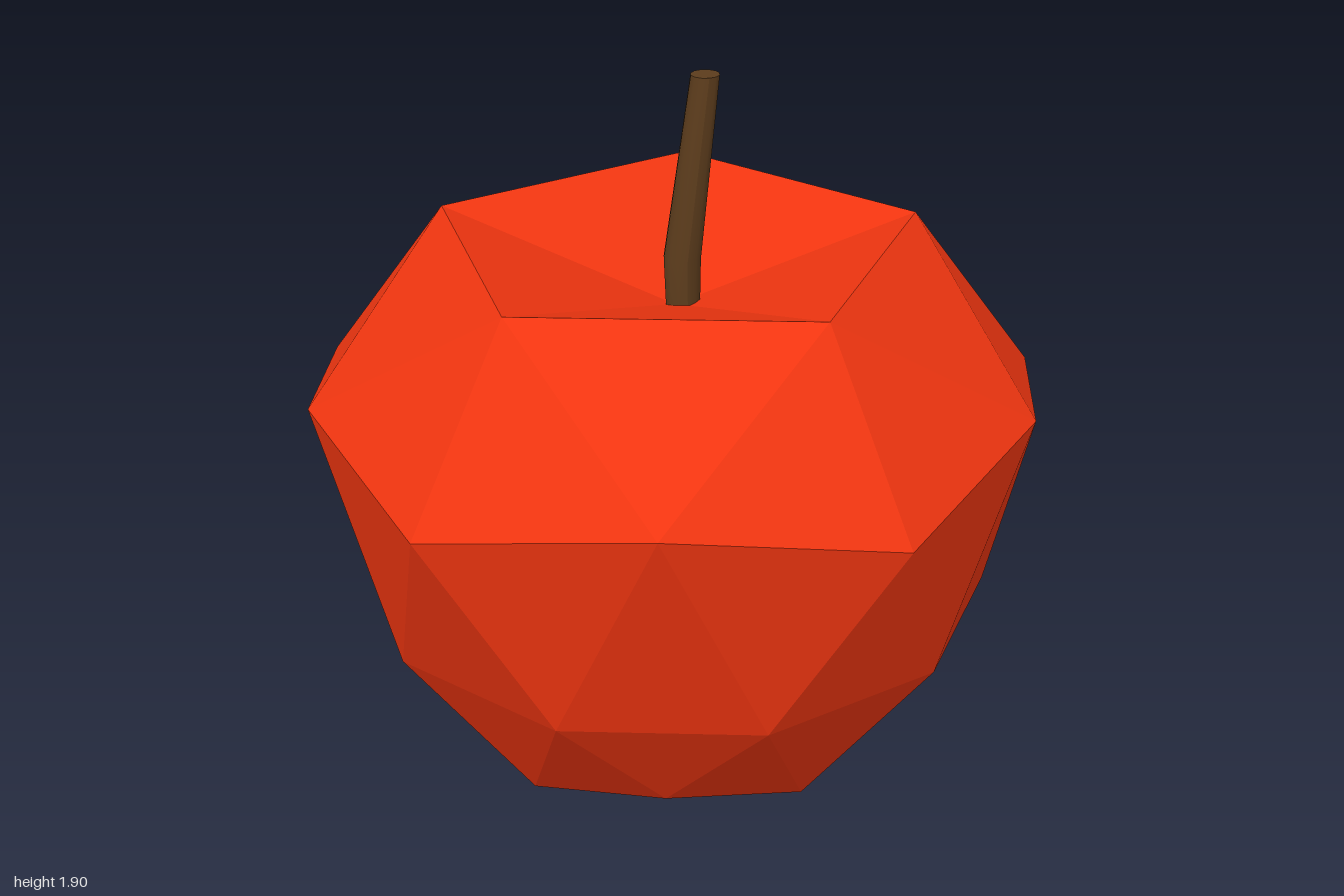
import * as THREE from 'three';

const CENTRE_X = -0.018;

// Point on a ring around the fruit's axis; step is in units of 36 degrees
function ringPoint(radius, y, step) {
  const a = step * Math.PI / 5;
  return [CENTRE_X + radius * Math.cos(a), y, radius * Math.sin(a)];
}

// Faceted fruit: five rings joined by triangles, with a dimple at each end
function createFruit() {
  const topDimple = [CENTRE_X, 1.27, 0];
  const bottomDimple = [CENTRE_X, 0.11, 0];
  const rim = k => ringPoint(0.67, 1.46, 2 * k);
  const shoulder = j => (j % 2 ? ringPoint(0.98, 1.09, j) : ringPoint(1.018, 0.99, j));
  const waist = j => ringPoint(0.853, 0.46, j + 0.5);
  const lower = j => (j % 2 ? ringPoint(0.612, 0.125, j) : ringPoint(0.605, 0.07, j));
  const foot = k => ringPoint(0.385, 0, 2 * k + 1);

  const positions = [];
  const tri = (a, b, c) => positions.push(...a, ...b, ...c);

  // Dimples, rim and foot
  for (let k = 0; k < 5; k++) {
    const j = 2 * k;
    tri(topDimple, rim(k + 1), rim(k));
    tri(rim(k), rim(k + 1), shoulder(j + 1));
    tri(rim(k), shoulder(j + 1), shoulder(j));
    tri(rim(k + 1), shoulder(j + 2), shoulder(j + 1));
    tri(lower(j), lower(j + 1), foot(k));
    tri(lower(j + 1), lower(j + 2), foot(k));
    tri(lower(j + 2), foot(k + 1), foot(k));
    tri(bottomDimple, foot(k), foot(k + 1));
  }
  // Side bands
  for (let j = 0; j < 10; j++) {
    tri(shoulder(j), shoulder(j + 1), waist(j));
    tri(shoulder(j + 1), waist(j + 1), waist(j));
    tri(waist(j), lower(j + 1), lower(j));
    tri(waist(j), waist(j + 1), lower(j + 1));
  }

  const geometry = new THREE.BufferGeometry();
  geometry.setAttribute('position', new THREE.Float32BufferAttribute(positions, 3));
  geometry.computeVertexNormals();
  const mesh = new THREE.Mesh(geometry, new THREE.MeshStandardMaterial({ color: 0xf03510, flatShading: true }));
  mesh.name = 'fruit';
  return mesh;
}

// Bent stem: a capped cylinder whose three rings follow the stem's centreline
function createStem() {
  const rings = [
    { x: 0, y: 1.2, r: 0.044 },
    { x: -0.003, y: 1.41, r: 0.05 },
    { x: 0.057, y: 1.9, r: 0.038 },
  ];
  const geometry = new THREE.CylinderGeometry(1, 1, 2, 12, 2);
  const p = geometry.attributes.position;
  for (let i = 0; i < p.count; i++) {
    const ring = rings[Math.round(p.getY(i)) + 1];
    p.setXYZ(i, ring.x + p.getX(i) * ring.r, ring.y, 0.02 + p.getZ(i) * ring.r);
  }
  geometry.computeVertexNormals();
  const mesh = new THREE.Mesh(geometry, new THREE.MeshStandardMaterial({ color: 0x5c3c1c }));
  mesh.name = 'stem';
  return mesh;
}

export function createModel() {
  const model = new THREE.Group();
  model.name = 'apple';
  model.add(createFruit(), createStem());
  return model;
}
